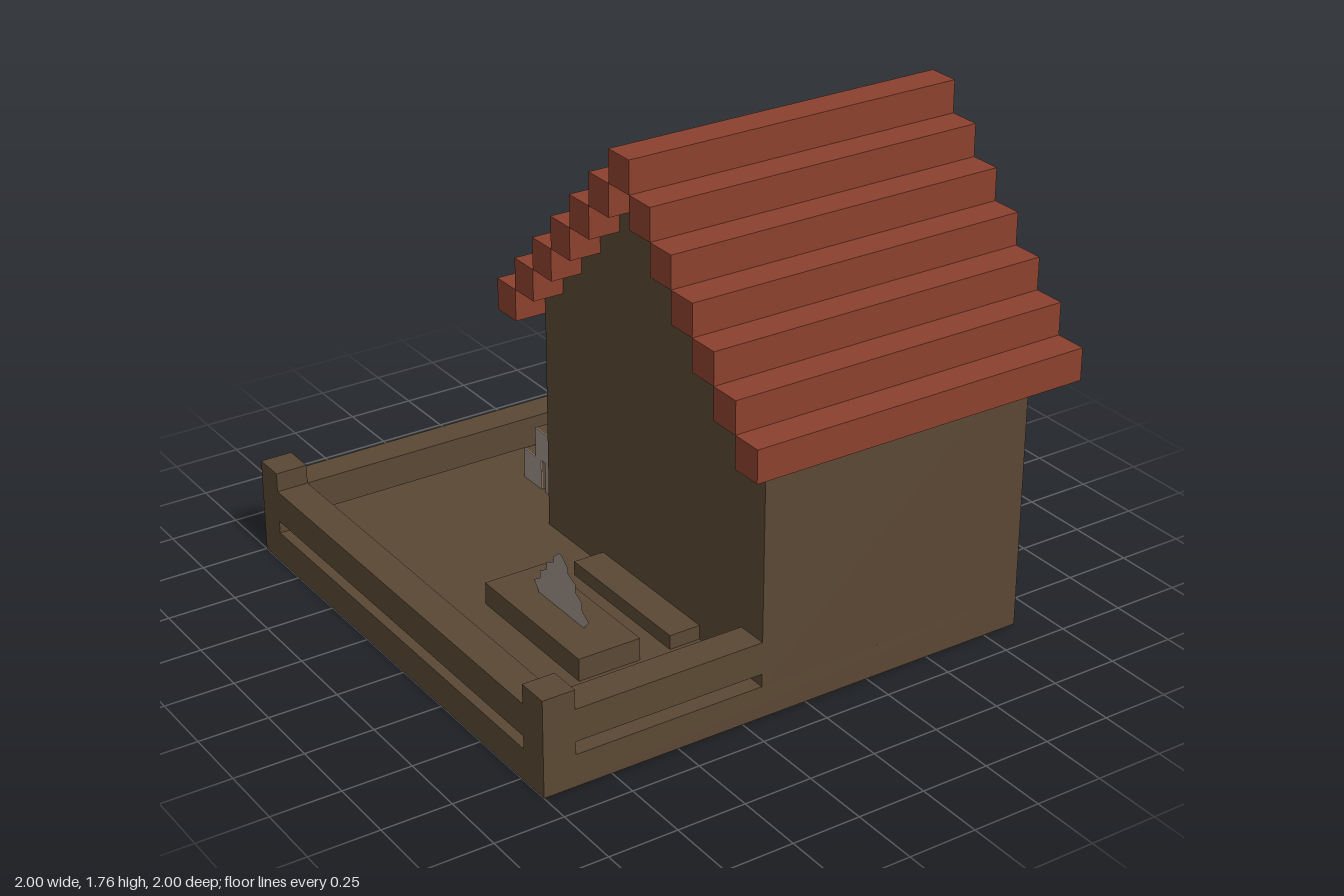
import * as THREE from 'three';

const U = 2 / 17; // one building block
const at = (n) => -1 + n * U; // block index to x or z

export function createModel() {
  const material = (name, color) => {
    const m = new THREE.MeshStandardMaterial({ color });
    m.name = name;
    return m;
  };
  const wood = material('dark wood', 0x5a4733);
  const tile = material('red roof', 0x8b402e);
  const steel = material('pale grey', 0x988d84);
  steel.side = THREE.DoubleSide;

  const model = new THREE.Group();
  model.name = 'sawmill';
  const group = (name) => {
    const g = new THREE.Group();
    g.name = name;
    model.add(g);
    return g;
  };
  // Box given by its limits on each axis
  const box = (parent, name, mat, [x0, x1], [y0, y1], [z0, z1]) => {
    const mesh = new THREE.Mesh(new THREE.BoxGeometry(x1 - x0, y1 - y0, z1 - z0), mat);
    mesh.position.set((x0 + x1) / 2, (y0 + y1) / 2, (z0 + z1) / 2);
    mesh.name = name;
    parent.add(mesh);
    return mesh;
  };

  // Ground slab
  box(model, 'base', wood, [at(0), at(16)], [0, U], [at(0), at(16)]);

  // House: stepped gable profile extruded along x
  const profile = new THREE.Shape();
  profile.moveTo(-at(16), U);
  for (let i = 0; i < 6; i++) {
    profile.lineTo(-at(16 - i), (9 + i) * U);
    profile.lineTo(-at(15 - i), (9 + i) * U);
  }
  for (let i = 5; i >= 0; i--) {
    profile.lineTo(-at(5 + i), (9 + i) * U);
    if (i > 0) profile.lineTo(-at(5 + i), (8 + i) * U);
  }
  profile.lineTo(-at(5), U);
  const houseGeometry = new THREE.ExtrudeGeometry(profile, { depth: 9 * U, bevelEnabled: false });
  houseGeometry.rotateY(Math.PI / 2).translate(at(7), 0, 0);
  const house = new THREE.Mesh(houseGeometry, wood);
  house.name = 'house';
  model.add(house);

  // Roof: stepped beams climbing to a ridge
  const roof = group('roof');
  const roofX = [at(6), at(17)];
  for (let k = 0; k < 6; k++) {
    for (const n of [4 + k, 16 - k]) {
      box(roof, 'roofBeam', tile, roofX, [(8 + k) * U, (9 + k) * U], [at(n), at(n + 1)]);
    }
  }
  box(roof, 'ridgeBeam', tile, roofX, [14 * U, 15 * U], [at(10), at(11)]);

  // Fence: corner posts and single rails with a slit beneath
  const fence = group('fence');
  for (const [x, z] of [[0, 0], [0, 15], [15, 0]]) {
    box(fence, 'post', wood, [at(x), at(x + 1)], [U, 3 * U], [at(z), at(z + 1)]);
  }
  const railY = [1.4 * U, 2.4 * U];
  box(fence, 'backRail', wood, [at(1), at(15)], railY, [at(0), at(1)]);
  box(fence, 'sideRail', wood, [at(0), at(1)], railY, [at(1), at(15)]);
  box(fence, 'frontRail', wood, [at(1), at(7)], railY, [at(15), at(16)]);
  box(fence, 'shortRail', wood, [at(15), at(16)], railY, [at(1), at(5)]);

  // Doorstep and saw table in the yard
  box(model, 'doorstep', wood, [at(6), at(7)], [U, 0.17], [at(8), at(13)]);
  box(model, 'sawTable', wood, [at(3), at(5)], [U, 0.2], [at(8), at(13)]);

  // Jagged saw blade standing in the table
  const half = [[0.14, 0], [0.17, 0.035], [0.13, 0.06], [0.13, 0.09], [0.09, 0.11],
    [0.09, 0.14], [0.045, 0.16], [0.045, 0.18], [0.01, 0.21]];
  const outline = [...half, ...half.map(([a, b]) => [-a, b]).reverse()];
  const bladeShape = new THREE.Shape(outline.map(([a, b]) => new THREE.Vector2(a, b)));
  const blade = new THREE.Mesh(new THREE.ShapeGeometry(bladeShape), steel);
  blade.name = 'sawBlade';
  blade.rotation.y = Math.PI / 2;
  blade.position.set(at(4), 0.2, 0.235);
  model.add(blade);

  // Log pile: two logs below, one on top, each with pale straps and ends
  const pile = group('logPile');
  const logX = [at(8), at(15)];
  const e = 0.004;
  for (const [y, z] of [[U, -0.765], [U, -0.62], [2 * U, -0.685]]) {
    box(pile, 'log', wood, logX, [y, y + U], [z, z + U]);
    box(pile, 'logEnd', steel, [logX[0] - e, logX[0]], [y, y + U], [z, z + U]);
    for (const x of [0.1, 0.51]) {
      box(pile, 'strap', steel, [x, x + 0.09], [y + e, y + U + e], [z - e, z + U + e]);
    }
  }
  box(pile, 'logEnd', steel, [logX[1], logX[1] + e], [U, 2 * U], [-0.62, -0.62 + U]);
  box(pile, 'logEnd', steel, [logX[1], logX[1] + e], [0.3, 3 * U], [-0.685, -0.685 + U]);
  box(pile, 'strapPatch', steel, [0.46, 0.52], [3 * U, 3 * U + e], [-0.63, -0.567]);
  box(pile, 'strapPatch', steel, [0.59, 0.66], [2 * U, 2 * U + e], [-0.565, -0.505]);

  return model;
}
